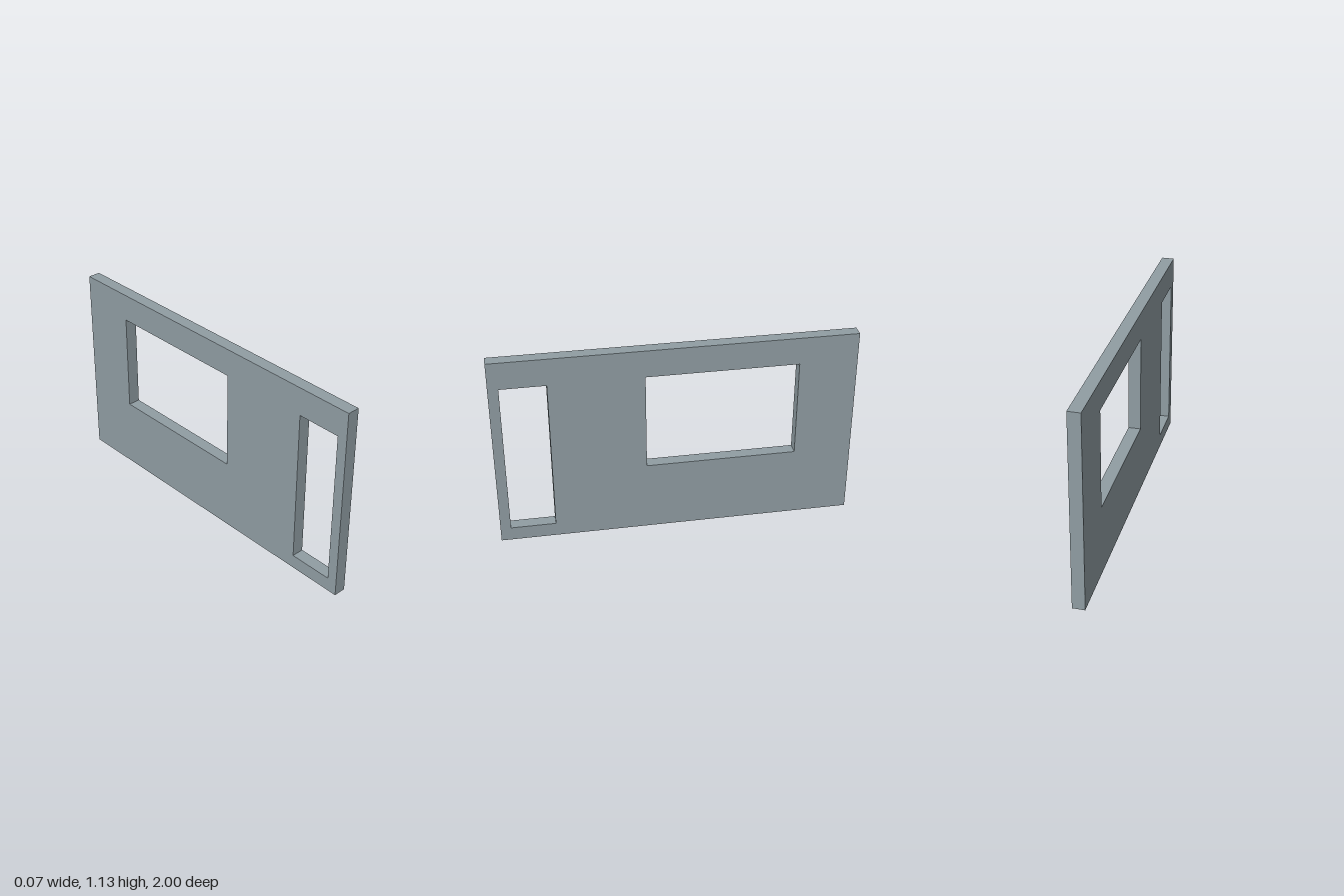
import * as THREE from 'three';

const THICKNESS = 0.07;

// Trace a rectangle given its z and y limits
function rectangle(path, z0, z1, y0, y1) {
  path.moveTo(z0, y0);
  path.lineTo(z1, y0);
  path.lineTo(z1, y1);
  path.lineTo(z0, y1);
  path.closePath();
  return path;
}

export function createModel() {
  const group = new THREE.Group();
  group.name = 'wallPanel';

  // Wall outline with a door and a window opening
  const outline = rectangle(new THREE.Shape(), -1, 1, 0, 1.13);
  outline.holes.push(
    rectangle(new THREE.Path(), 0.69, 0.942, 0.08, 0.973), // door
    rectangle(new THREE.Path(), -0.675, 0.167, 0.41, 0.973), // window
  );

  // Extrude the thickness, then turn the wall to run along z
  const geometry = new THREE.ExtrudeGeometry(outline, { depth: THICKNESS, bevelEnabled: false });
  geometry.translate(0, 0, -THICKNESS / 2);
  geometry.rotateY(-Math.PI / 2);

  // Blue-grey wall
  const wall = new THREE.Mesh(
    geometry,
    new THREE.MeshStandardMaterial({ color: 0x909da3, flatShading: true }),
  );
  wall.name = 'wall';
  group.add(wall);
  return group;
}
